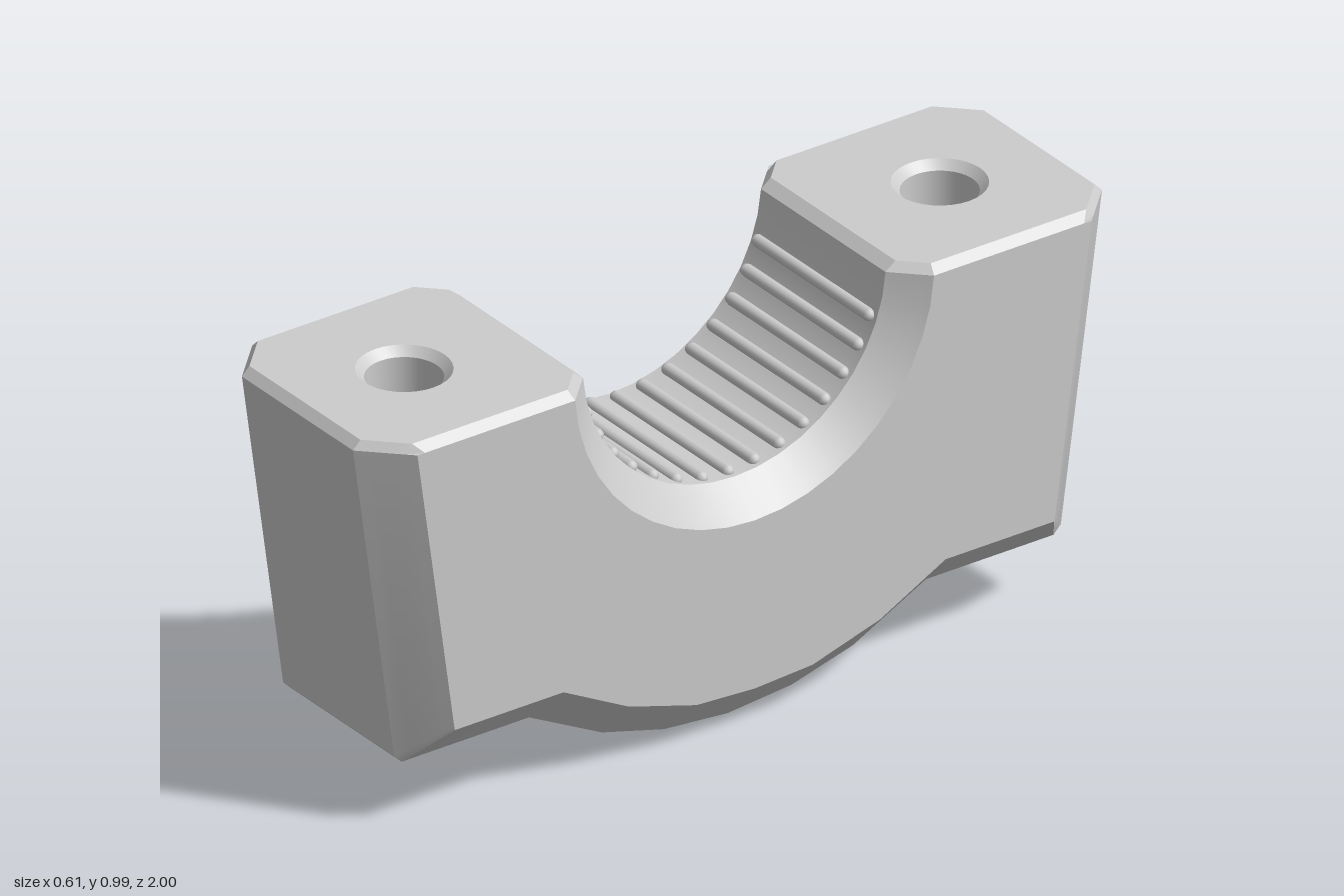
import * as THREE from 'three';
import { toCreasedNormals } from 'three/addons/utils/BufferGeometryUtils.js';

const W = 0.305;          // half width
const HOLE_Z = 0.715;     // screw hole distance from the centre
const HOLE_TOP = 0.107, HOLE_BOTTOM = 0.145, SEG = 32;
const PANEL = { x: -0.28, z: 0.335, top: 0.4 };   // recessed label panel
const LAYERS = [-W, -0.285, -0.28, -0.23, -0.205, 0.205, 0.23, 0.28, 0.285, W];

// Half of the side outline as [z, y]: outermost edge, then where it ends on the side face
const OUTER = [
  [0, 0, 0, 0.105], [0.17, 0.015, 0.155, 0.114], [0.335, 0.06, 0.335, 0.168],
  [0.53, 0.16, 0.51, 0.26], [0.87, 0.16, 0.8, 0.26], [0.89, 0.18, 0.802, 0.27],
  [1, 0.97, 0.9, 0.97],
];
const FLAT = 3, TOP = 7;  // outline segments that carry the screw holes

// Outline of one slice, from bottom centre round the end to the saddle centre
function slice(x) {
  const ax = Math.abs(x);
  const o = Math.max(0, (ax - 0.205) / 0.1);
  const r = 0.405 + Math.max(0, ax - 0.23);
  const top = ax > 0.29 ? 0.97 : 0.99;
  const pts = OUTER.map(([a, b, c, d]) => [a + (c - a) * o, b + (d - b) * o]);
  pts.push([0.98 - 0.1 * o, top], [r + 0.025, top]);
  const start = Math.acos(0.03 / r);
  for (let i = 0; i <= 10; i++) {
    const a = start * (1 - i / 10);
    pts.push([r * Math.sin(a), 1 - r * Math.cos(a)]);
  }
  return pts;
}

const circle = (r, z) => Array.from({ length: SEG }, (_, i) => {
  const a = (i / SEG) * Math.PI * 2;
  return [r * Math.sin(a), z + r * Math.cos(a)];
});

function bodyGeometry() {
  const pos = [];
  const slices = LAYERS.map(slice);
  const n = slices[0].length;
  const mirror = ([z, y]) => [-z, y];

  // Flat polygon with optional hole, turned to face the given direction
  function fill(contour, hole, place, normal) {
    const toV = (list) => list.map(([u, v]) => new THREE.Vector2(u, v));
    let c = toV(contour), h = hole ? [toV(hole)] : [];
    if (THREE.ShapeUtils.isClockWise(c)) c.reverse();
    h.forEach((p) => { if (!THREE.ShapeUtils.isClockWise(p)) p.reverse(); });
    const all = [...c, ...h.flat()].map((p) => new THREE.Vector3(...place(p.x, p.y)));
    for (const t of THREE.ShapeUtils.triangulateShape(c, h)) {
      const [a, b, d] = t.map((i) => all[i]);
      const facing = b.clone().sub(a).cross(d.clone().sub(a)).dot(normal);
      for (const p of facing > 0 ? [a, b, d] : [a, d, b]) pos.push(p.x, p.y, p.z);
    }
  }
  const dir = (x, y, z) => new THREE.Vector3(x, y, z);

  for (const m of [1, -1]) {
    // Skin between neighbouring slices
    for (let k = 0; k < LAYERS.length - 1; k++) {
      const x0 = LAYERS[k], x1 = LAYERS[k + 1], reach = Math.max(Math.abs(x0), Math.abs(x1));
      for (let i = 0; i < n - 1; i++) {
        if (i === FLAT && reach < 0.21) continue;
        if (i === TOP && reach < 0.29) continue;
        if (i < 2 && x1 <= PANEL.x) continue;
        const at = (x, [z, y]) => [x, y, m * z];
        const a = at(x0, slices[k][i]), b = at(x0, slices[k][i + 1]);
        const d = at(x1, slices[k + 1][i]), c = at(x1, slices[k + 1][i + 1]);
        for (const p of m > 0 ? [a, d, c, a, c, b] : [a, c, d, a, b, c]) pos.push(...p);
      }
    }
    // Top and bottom pads with screw holes
    const pad = (i, limit) => {
      const ks = LAYERS.map((_, k) => k).filter((k) => Math.abs(LAYERS[k]) < limit);
      const edge = (j) => ks.map((k) => [LAYERS[k], m * slices[k][j][0]]);
      return [...edge(i), ...edge(i + 1).reverse()];
    };
    fill(pad(TOP, 0.29), circle(HOLE_TOP, m * HOLE_Z), (x, z) => [x, 0.99, z], dir(0, 1, 0));
    fill(pad(FLAT, 0.21), circle(HOLE_BOTTOM, m * HOLE_Z), (x, z) => [x, 0.16, z], dir(0, -1, 0));
    // Panel recess side walls
    fill([[-W, PANEL.top], [PANEL.x, PANEL.top], [PANEL.x, slices[2][2][1]], [-W, slices[0][2][1]]],
      null, (x, y) => [x, y, m * PANEL.z], dir(0, 0, -m));
  }

  // Side faces, one notched by the panel recess
  const s = slices[0];
  const corners = [[-PANEL.z, PANEL.top], [PANEL.z, PANEL.top]];
  fill([...s, ...s.slice(1, n - 1).reverse().map(mirror)], null, (z, y) => [W, y, z], dir(1, 0, 0));
  fill([...s.slice(2), ...s.slice(2, n - 1).reverse().map(mirror), ...corners], null,
    (z, y) => [-W, y, z], dir(-1, 0, 0));

  // Panel recess floor and upper wall
  const f = slices[2];
  fill([f[2], f[1], f[0], mirror(f[1]), mirror(f[2]), ...corners], null,
    (z, y) => [PANEL.x, y, z], dir(-1, 0, 0));
  fill([[-W, -PANEL.z], [PANEL.x, -PANEL.z], [PANEL.x, PANEL.z], [-W, PANEL.z]], null,
    (x, z) => [x, PANEL.top, z], dir(0, -1, 0));

  const g = new THREE.BufferGeometry();
  g.setAttribute('position', new THREE.Float32BufferAttribute(pos, 3));
  return toCreasedNormals(g, 0.45);
}

export function createModel() {
  const group = new THREE.Group();
  group.name = 'clampHalf';
  const material = new THREE.MeshStandardMaterial({ color: 0xcccccc });
  const add = (name, geometry) => {
    const mesh = new THREE.Mesh(geometry, material);
    mesh.name = name;
    group.add(mesh);
    return mesh;
  };

  add('body', bodyGeometry());

  // Countersunk screw bores, walls facing inward
  const bore = toCreasedNormals(new THREE.LatheGeometry(
    [[HOLE_TOP, 0.99], [0.087, 0.97], [0.087, 0.22], [HOLE_BOTTOM, 0.16]]
      .map(([r, y]) => new THREE.Vector2(r, y)), SEG), 0.45);
  for (const m of [1, -1]) add(m > 0 ? 'frontBore' : 'backBore', bore).position.z = m * HOLE_Z;

  // Grip ribs across the saddle
  const rib = new THREE.CapsuleGeometry(0.015, 0.41, 3, 10).rotateZ(Math.PI / 2);
  for (let i = -7; i <= 7; i++) {
    const a = THREE.MathUtils.degToRad(i * 10);
    add('gripRib', rib).position.set(0, 1 - 0.402 * Math.cos(a), 0.402 * Math.sin(a));
  }
  return group;
}
